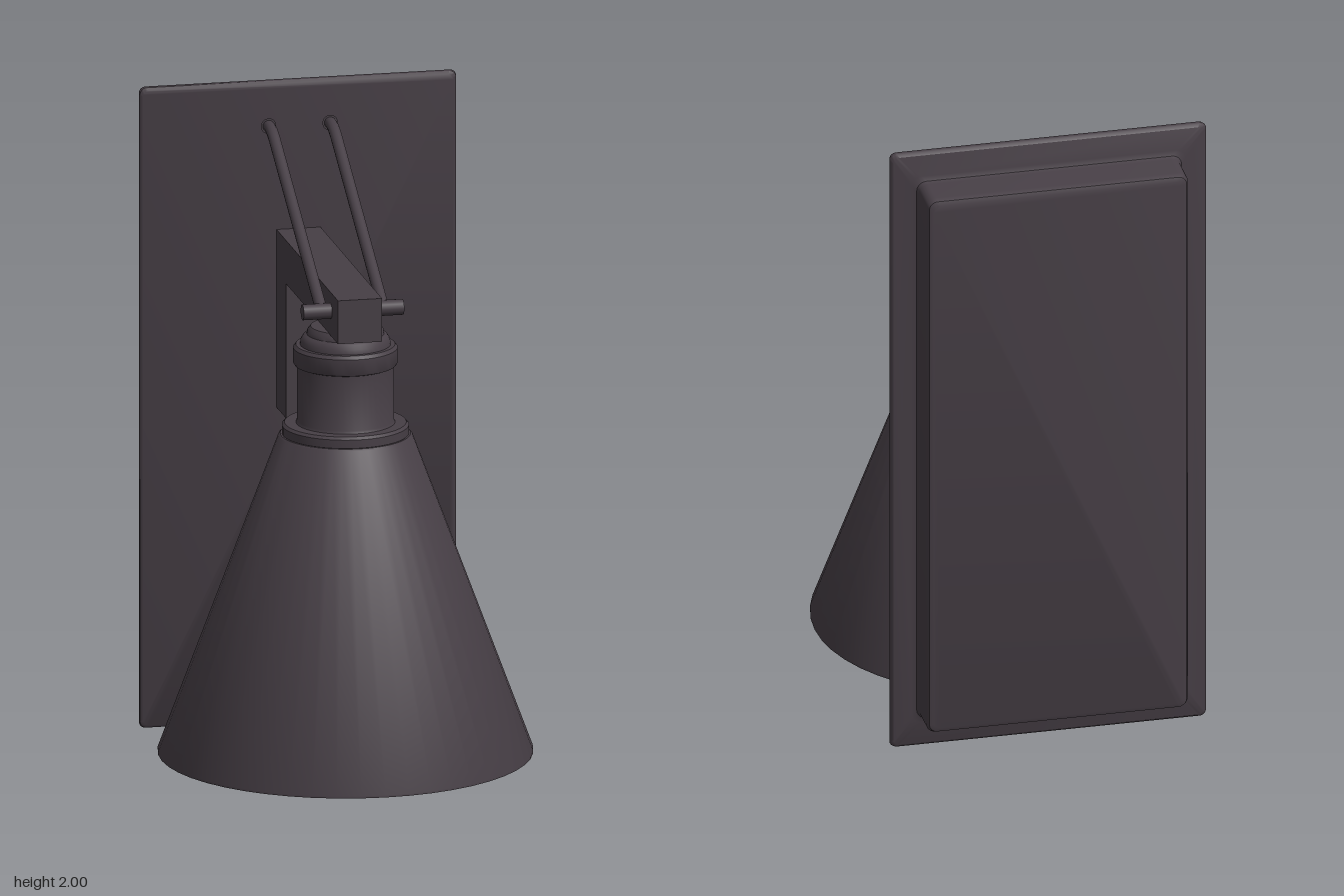
import * as THREE from 'three';
import { toCreasedNormals } from 'three/addons/utils/BufferGeometryUtils.js';

const AXIS_Z = 0.125; // vertical axis of shade, socket and bulb

// Rounded rectangles [halfWidth, halfHeight, cornerRadius, z] joined from back to front
function loftRects(sections) {
  const pos = [], index = [], steps = 5, n = 4 * (steps + 1);
  const corners = [[1, 1], [-1, 1], [-1, -1], [1, -1]];
  for (const [hx, hy, r, z] of sections) {
    corners.forEach(([sx, sy], c) => {
      for (let k = 0; k <= steps; k++) {
        const a = (c + k / steps) * Math.PI / 2;
        pos.push(sx * (hx - r) + r * Math.cos(a), sy * (hy - r) + r * Math.sin(a), z);
      }
    });
  }
  const last = sections.length - 1;
  for (let s = 0; s < last; s++) {
    for (let i = 0; i < n; i++) {
      const j = (i + 1) % n, a = s * n, b = a + n;
      index.push(a + i, a + j, b + j, a + i, b + j, b + i);
    }
  }
  for (let i = 1; i < n - 1; i++) {
    index.push(0, i + 1, i, last * n, last * n + i, last * n + i + 1);
  }
  const g = new THREE.BufferGeometry();
  g.setAttribute('position', new THREE.Float32BufferAttribute(pos, 3));
  g.setIndex(index);
  return toCreasedNormals(g, 0.7);
}

function lathe(points, segments = 48) {
  const g = new THREE.LatheGeometry(points.map(([r, y]) => new THREE.Vector2(r, y)), segments);
  return toCreasedNormals(g, 0.6).translate(0, 0, AXIS_Z);
}

export function createModel() {
  const model = new THREE.Group();
  model.name = 'wallLamp';
  const metal = new THREE.MeshStandardMaterial({ color: 0x463e45, side: THREE.DoubleSide });
  metal.name = 'dark bronze';
  const glass = new THREE.MeshStandardMaterial({ color: 0xd4d4d4 });
  glass.name = 'pale glass';

  const add = (name, geometry, material = metal, parent = model) => {
    const mesh = new THREE.Mesh(geometry, material);
    mesh.name = name;
    parent.add(mesh);
    return mesh;
  };

  // Wall plate with the shallow box behind it
  add('wallPlate', loftRects([
    [0.385, 0.88, 0.02, -0.695],
    [0.398, 0.893, 0.025, -0.69],
    [0.405, 0.9, 0.03, -0.675],
    [0.405, 0.9, 0.03, -0.582],
    [0.41, 0.905, 0.03, -0.57],
    [0.425, 0.92, 0.03, -0.564],
    [0.48, 0.99, 0.018, -0.564],
    [0.488, 0.998, 0.02, -0.557],
    [0.49, 1, 0.02, -0.55],
    [0.488, 0.998, 0.02, -0.541],
    [0.48, 0.99, 0.018, -0.535],
  ]).translate(0, 1, 0));

  // L-shaped arm, outlined from the side and extruded across x
  const outline = new THREE.Shape([
    [0.535, 0.98], [0.535, 1.535], [-0.33, 1.535], [-0.33, 1.4], [0.4, 1.4], [0.4, 0.98],
  ].map(([x, y]) => new THREE.Vector2(x, y)));
  const arm = new THREE.ExtrudeGeometry(outline, { depth: 0.136, bevelEnabled: false });
  add('arm', arm.translate(0, 0, -0.068).rotateY(Math.PI / 2));

  // Cross pin through the arm
  const pin = new THREE.CylinderGeometry(0.024, 0.024, 0.31, 20);
  add('crossPin', pin.rotateZ(Math.PI / 2).translate(0, 1.477, 0.225));

  // Pair of stay rods, bent where they meet the plate
  for (const side of [1, -1]) {
    const stay = new THREE.Group();
    stay.name = side > 0 ? 'leftStay' : 'rightStay';
    const x = side * 0.095;
    const path = new THREE.CurvePath();
    const p = [[1.477, 0.225], [1.84, -0.435], [1.862, -0.475], [1.862, -0.51], [1.862, -0.537]]
      .map(([y, z]) => new THREE.Vector3(x, y, z));
    path.add(new THREE.LineCurve3(p[0], p[1]));
    path.add(new THREE.QuadraticBezierCurve3(p[1], p[2], p[3]));
    path.add(new THREE.LineCurve3(p[3], p[4]));
    add('stayRod', new THREE.TubeGeometry(path, 60, 0.018, 14), metal, stay);
    add('stayEnd', new THREE.SphereGeometry(0.02, 16, 12).translate(x, 1.477, 0.225), metal, stay);
    const foot = new THREE.CylinderGeometry(0.019, 0.024, 0.012, 18);
    add('stayFoot', foot.rotateX(-Math.PI / 2).translate(x, 1.862, -0.53), metal, stay);
    model.add(stay);
  }

  // Stepped socket cap, neck and collar
  add('socket', lathe([
    [0, 1.06], [0.185, 1.06], [0.192, 1.068], [0.192, 1.094], [0.184, 1.102], [0.15, 1.102],
    [0.146, 1.11], [0.146, 1.28], [0.154, 1.283], [0.158, 1.29], [0.158, 1.335], [0.15, 1.345],
    [0.137, 1.345], [0.135, 1.36], [0.127, 1.373], [0.117, 1.378], [0.115, 1.39], [0.105, 1.402],
    [0, 1.402],
  ]));

  // Thin conical shade, open at the bottom
  add('shade', lathe([
    [0, 1.054], [0.193, 1.054], [0.56, 0.075], [0.567, 0.075], [0.567, 0.082],
    [0.203, 1.062], [0.197, 1.067], [0.18, 1.067],
  ]));

  // Bulb and its holder inside the shade
  add('bulbHolder', new THREE.CylinderGeometry(0.09, 0.09, 0.17, 32).translate(0, 0.97, AXIS_Z));
  const bulb = [];
  for (let i = 0; i <= 16; i++) {
    const a = -Math.PI / 2 + i / 16 * 2.15;
    bulb.push([Math.max(0, 0.19 * Math.cos(a)), 0.56 + 0.19 * Math.sin(a)]);
  }
  bulb.push([0.125, 0.73], [0.09, 0.81], [0.075, 0.9]);
  add('bulb', lathe(bulb, 40), glass);

  return model;
}
